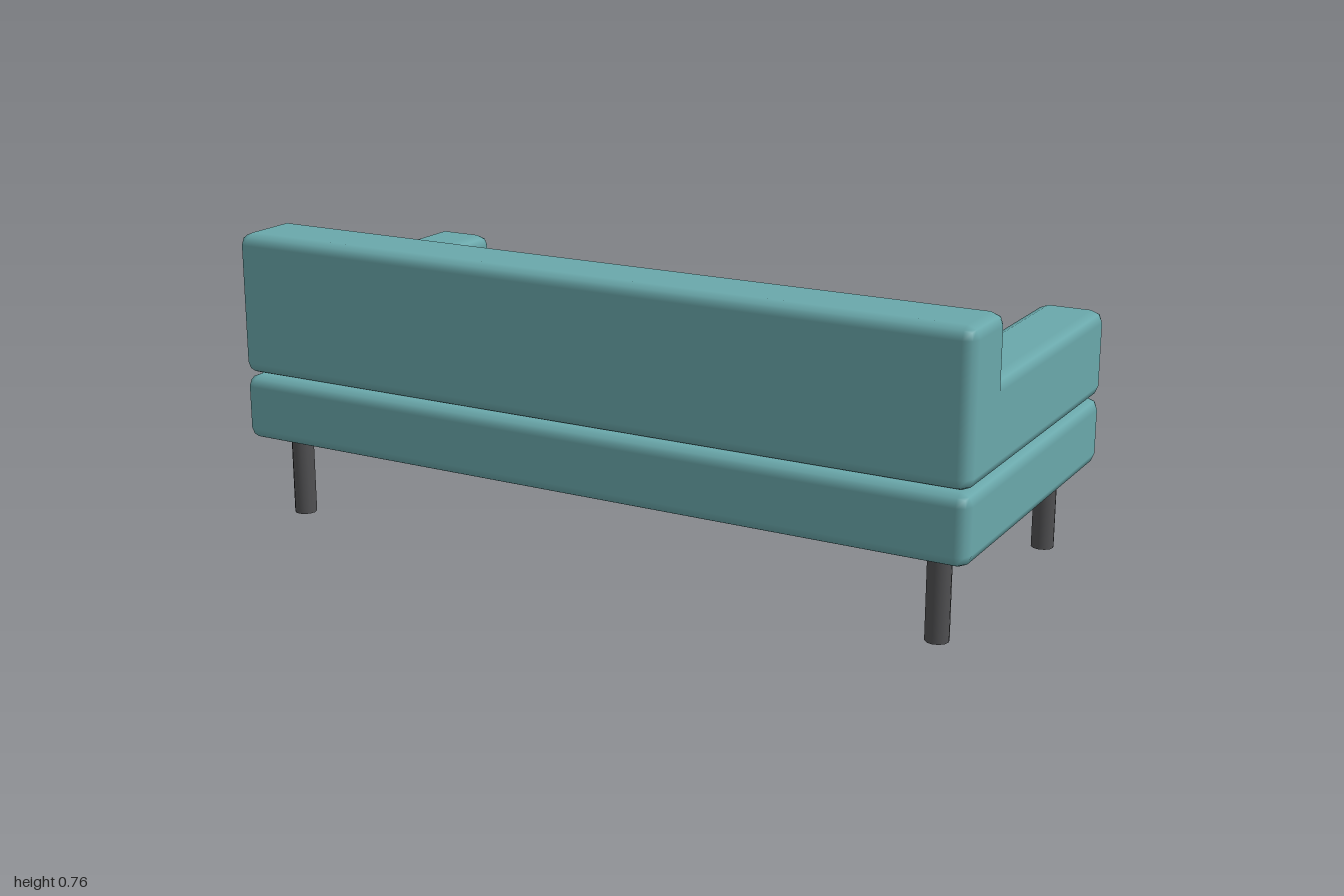
import * as THREE from 'three';
import { RoundedBoxGeometry } from 'three/addons/geometries/RoundedBoxGeometry.js';

export function createModel() {
  const sofa = new THREE.Group();
  sofa.name = 'sofa';

  const fabric = new THREE.MeshStandardMaterial({ color: 0x6aa8ab });
  const cushionFabric = new THREE.MeshStandardMaterial({ color: 0x7db9b9 });
  const metal = new THREE.MeshStandardMaterial({ color: 0x505052 });

  // Softly bevelled block given by its lower and upper limits on each axis
  function block(name, [x0, x1], [y0, y1], [z0, z1], material) {
    const geometry = new RoundedBoxGeometry(x1 - x0, y1 - y0, z1 - z0, 1, 0.03);
    const mesh = new THREE.Mesh(geometry, material);
    mesh.name = name;
    mesh.position.set((x0 + x1) / 2, (y0 + y1) / 2, (z0 + z1) / 2);
    sofa.add(mesh);
  }

  // Base and backrest; the seat opens towards -z
  block('base', [-1, 1], [0.213, 0.386], [-0.45, 0.45], fabric);
  block('backrest', [-1, 1], [0.39, 0.76], [0.255, 0.45], fabric);

  // Armrests run back into the backrest
  block('rightArmrest', [-1, -0.83], [0.39, 0.61], [-0.45, 0.45], fabric);
  block('leftArmrest', [0.83, 1], [0.39, 0.61], [-0.45, 0.45], fabric);

  // Three seat cushions, the outer ones tucked under the armrests
  [['rightCushion', -0.65], ['middleCushion', 0], ['leftCushion', 0.65]].forEach(([name, x]) => {
    block(name, [x - 0.3, x + 0.3], [0.386, 0.513], [-0.375, 0.3], cushionFabric);
  });

  // Four round legs
  const legGeometry = new THREE.CylinderGeometry(0.029, 0.029, 0.23, 12);
  for (const x of [-0.9, 0.9]) {
    for (const z of [-0.35, 0.35]) {
      const leg = new THREE.Mesh(legGeometry, metal);
      leg.name = (z < 0 ? 'seatSide' : 'backSide') + (x < 0 ? 'RightLeg' : 'LeftLeg');
      leg.position.set(x, 0.115, z);
      sofa.add(leg);
    }
  }

  return sofa;
}
